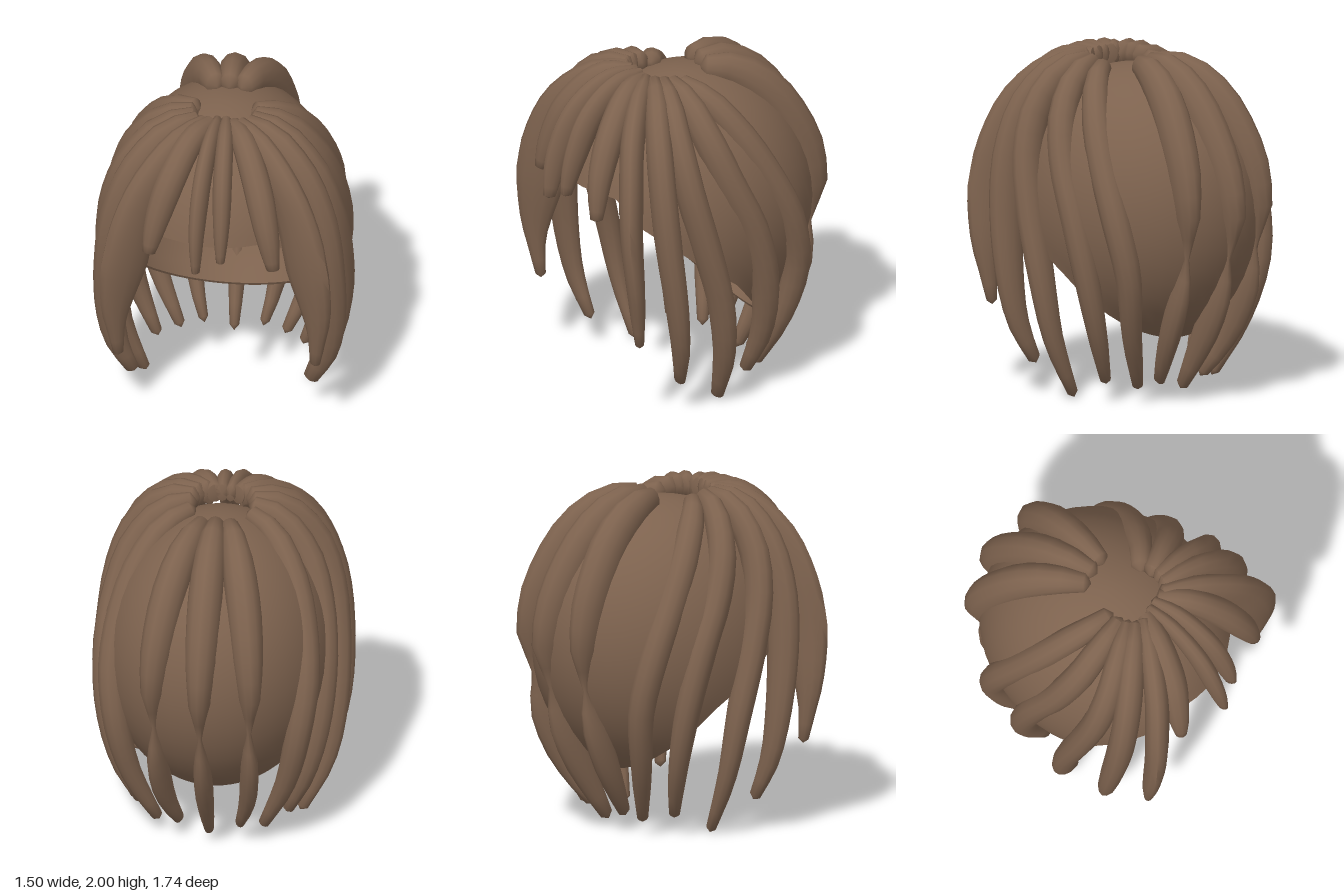
import * as THREE from 'three';
import { toCreasedNormals } from 'three/addons/utils/BufferGeometryUtils.js';

const CENTER = new THREE.Vector3(0, 1.08, -0.01);
const RADII = new THREE.Vector3(0.67, 0.83, 0.77);
// point the locks fan out from
const CROWN = new THREE.Vector3(0, 1.08, 0.3);

// piecewise-linear lookup: list of [input, output] with rising input
function lookup(table, v) {
  if (v <= table[0][0]) return table[0][1];
  for (let i = 1; i < table.length; i++) {
    const [a, p] = table[i - 1], [b, q] = table[i];
    if (v <= b) return p + (q - p) * (v - a) / (b - a);
  }
  return table[table.length - 1][1];
}

// height of the cap's slanted opening for each z, level across the forehead
const OPENING = [[-0.8, 0.1], [-0.38, 0.34], [0, 0.77], [0.25, 0.95], [0.55, 1.19], [0.63, 1.34]];

function capPoint(phi, theta, s) {
  return new THREE.Vector3(-Math.cos(phi) * Math.sin(theta), Math.cos(theta), Math.sin(phi) * Math.sin(theta))
    .multiply(RADII).multiplyScalar(s).add(CENTER);
}

// angle from the pole at which the cap meets its opening
function openingAngle(phi) {
  let lo = 0, hi = Math.PI;
  for (let i = 0; i < 30; i++) {
    const mid = (lo + hi) / 2, p = capPoint(phi, mid, 1);
    if (p.y > lookup(OPENING, p.z)) lo = mid; else hi = mid;
  }
  return lo;
}

// thin cap: the first half of the rows is the outside, the second half the inside
function capGeometry() {
  const cols = 48, half = 18, rows = half * 2 + 1;
  const g = new THREE.SphereGeometry(1, cols, rows);
  const pos = g.attributes.position;
  for (let i = 0; i < pos.count; i++) {
    const row = Math.floor(i / (cols + 1)), col = i % (cols + 1);
    const phi = (col % cols) / cols * Math.PI * 2;
    const t = Math.min(row, rows - row) / half;
    const p = capPoint(phi, t * openingAngle(phi), row <= half ? 1 : 0.975);
    pos.setXYZ(i, p.x, p.y, p.z);
  }
  return toCreasedNormals(g, 0.9);
}

const TAPER = [0.6, 0.9, 1, 1, 1, 0.92, 0.8, 0.62, 0.34];
const FRINGE_TAPER = [0.6, 0.85, 0.95, 1, 1, 0.9, 0.72, 0.42];
// temple locks are broad beside the brow and thin below it
const TEMPLE_DEPTH = [0.45, 0.62, 0.75, 0.9, 1, 1, 0.72, 0.37, 0.18];
// back locks thin out where they pass through the cap, then swell again
const BACK_WIDTH = [0.5, 0.85, 1, 1, 0.9, 0.66, 0.1, 0.48, 0.55, 0.45, 0.25];
const BACK_DEPTH = [0.5, 0.88, 1, 1, 1, 0.85, 0.1, 0.68, 0.75, 0.55, 0.28];

// tapered lock swept along a path, its deep side pointing away from the crown
function lockGeometry(points, width, depth, widthTaper, depthTaper = widthTaper) {
  const cols = 12, rows = 20;
  const curve = new THREE.CatmullRomCurve3(points.map(p => new THREE.Vector3(...p)));
  const table = taper => taper.map((r, i) => [i / (taper.length - 1), r]);
  const widths = table(widthTaper), depths = table(depthTaper);
  const g = new THREE.SphereGeometry(1, cols, rows);
  const pos = g.attributes.position;
  for (let row = 0; row <= rows; row++) {
    const end = row === 0 || row === rows;
    const t = end ? row / rows : 0.015 + 0.97 * (row - 1) / (rows - 2);
    const p = curve.getPointAt(t), T = curve.getTangentAt(t);
    const N = p.clone().sub(CROWN);
    N.y = Math.max(N.y, 0);
    N.addScaledVector(T, -N.dot(T)).normalize();
    const B = T.clone().cross(N);
    const w = end ? 0 : width * lookup(widths, t);
    const d = end ? 0 : depth * lookup(depths, t);
    for (let col = 0; col <= cols; col++) {
      const a = (col % cols) / cols * Math.PI * 2;
      const v = p.clone().addScaledVector(N, -Math.cos(a) * d).addScaledVector(B, Math.sin(a) * w);
      pos.setXYZ(row * (cols + 1) + col, v.x, v.y, v.z);
    }
  }
  return toCreasedNormals(g, 1.1);
}

// side locks of the left half, from front to back: name, width, depth, depth taper, path
const SIDE_LOCKS = [
  ['templeLock', 0.07, 0.155, TEMPLE_DEPTH, [[0.08, 1.91, 0.28], [0.23, 1.86, 0.42], [0.38, 1.68, 0.55], [0.47, 1.45, 0.61], [0.53, 1.15, 0.64], [0.585, 0.8, 0.64], [0.57, 0.48, 0.61]]],
  ['frontSideLock', 0.078, 0.11, TAPER, [[0.12, 1.91, 0.26], [0.29, 1.87, 0.34], [0.46, 1.69, 0.42], [0.57, 1.42, 0.455], [0.62, 1.1, 0.445], [0.64, 0.7, 0.4], [0.61, 0.42, 0.36], [0.51, 0.17, 0.31]]],
  ['middleSideLock', 0.08, 0.105, TAPER, [[0.14, 1.91, 0.22], [0.32, 1.87, 0.27], [0.5, 1.67, 0.31], [0.6, 1.4, 0.29], [0.64, 1.1, 0.22], [0.655, 0.7, 0.12], [0.61, 0.35, 0.07], [0.47, 0, 0.04]]],
  ['rearSideLock', 0.085, 0.1, TAPER, [[0.15, 1.91, 0.18], [0.32, 1.86, 0.16], [0.49, 1.66, 0.11], [0.58, 1.4, 0.02], [0.62, 1.1, -0.11], [0.61, 0.75, -0.2], [0.54, 0.4, -0.22], [0.42, 0.1, -0.17]]],
  ['napeLock', 0.085, 0.09, TAPER, [[0.15, 1.9, 0.12], [0.31, 1.83, 0.02], [0.45, 1.63, -0.12], [0.53, 1.38, -0.26], [0.56, 1.1, -0.39], [0.53, 0.78, -0.46], [0.45, 0.42, -0.41], [0.3, 0.07, -0.31]]],
];

// fringe locks, slightly uneven from side to side
const FRINGE_LOCKS = [
  ['rightInnerFringe', 0.05, 0.085, [[-0.025, 1.92, 0.27], [-0.05, 1.9, 0.45], [-0.08, 1.75, 0.64], [-0.1, 1.48, 0.77], [-0.1, 1.22, 0.83]]],
  ['leftInnerFringe', 0.055, 0.085, [[0.02, 1.92, 0.27], [0.03, 1.9, 0.44], [0.035, 1.75, 0.62], [0.04, 1.5, 0.74], [0.04, 1.28, 0.8]]],
  ['rightOuterFringe', 0.08, 0.09, [[-0.06, 1.91, 0.28], [-0.16, 1.89, 0.43], [-0.26, 1.72, 0.58], [-0.34, 1.48, 0.67], [-0.385, 1.27, 0.72]]],
  ['leftOuterFringe', 0.08, 0.09, [[0.055, 1.91, 0.28], [0.14, 1.89, 0.44], [0.23, 1.72, 0.6], [0.3, 1.47, 0.72], [0.345, 1.23, 0.77]]],
];

const BACK_MIDDLE = [[0, 1.92, -0.08], [0, 1.9, -0.25], [0, 1.775, -0.44], [0, 1.59, -0.59], [0, 1.38, -0.7], [0, 1.13, -0.765], [0, 0.84, -0.74], [0, 0.55, -0.635], [0, 0.28, -0.495], [0, 0.04, -0.355]];
const BACK_SIDE = [[0.07, 1.92, -0.08], [0.13, 1.885, -0.25], [0.19, 1.755, -0.43], [0.235, 1.57, -0.56], [0.265, 1.36, -0.65], [0.28, 1.13, -0.69], [0.275, 0.84, -0.675], [0.265, 0.55, -0.58], [0.23, 0.29, -0.46], [0.17, 0.09, -0.345]];

const mirror = points => points.map(([x, y, z]) => [-x, y, z]);

export function createModel() {
  const group = new THREE.Group();
  group.name = 'hair';
  const brown = new THREE.MeshStandardMaterial({ color: 0x7d624e, side: THREE.DoubleSide });
  brown.name = 'brown hair';
  const add = (name, geometry) => {
    const mesh = new THREE.Mesh(geometry, brown);
    mesh.name = name;
    group.add(mesh);
  };

  add('cap', capGeometry());

  for (const [name, w, d, pts] of FRINGE_LOCKS) add(name, lockGeometry(pts, w, d, FRINGE_TAPER));

  for (const [name, w, d, depthTaper, pts] of SIDE_LOCKS) {
    add(name + 'Left', lockGeometry(pts, w, d, TAPER, depthTaper));
    add(name + 'Right', lockGeometry(mirror(pts), w, d, TAPER, depthTaper));
  }

  const backLock = points => lockGeometry(points, 0.1, 0.125, BACK_WIDTH, BACK_DEPTH);
  add('backLockMiddle', backLock(BACK_MIDDLE));
  add('backLockLeft', backLock(BACK_SIDE));
  add('backLockRight', backLock(mirror(BACK_SIDE)));

  return group;
}
